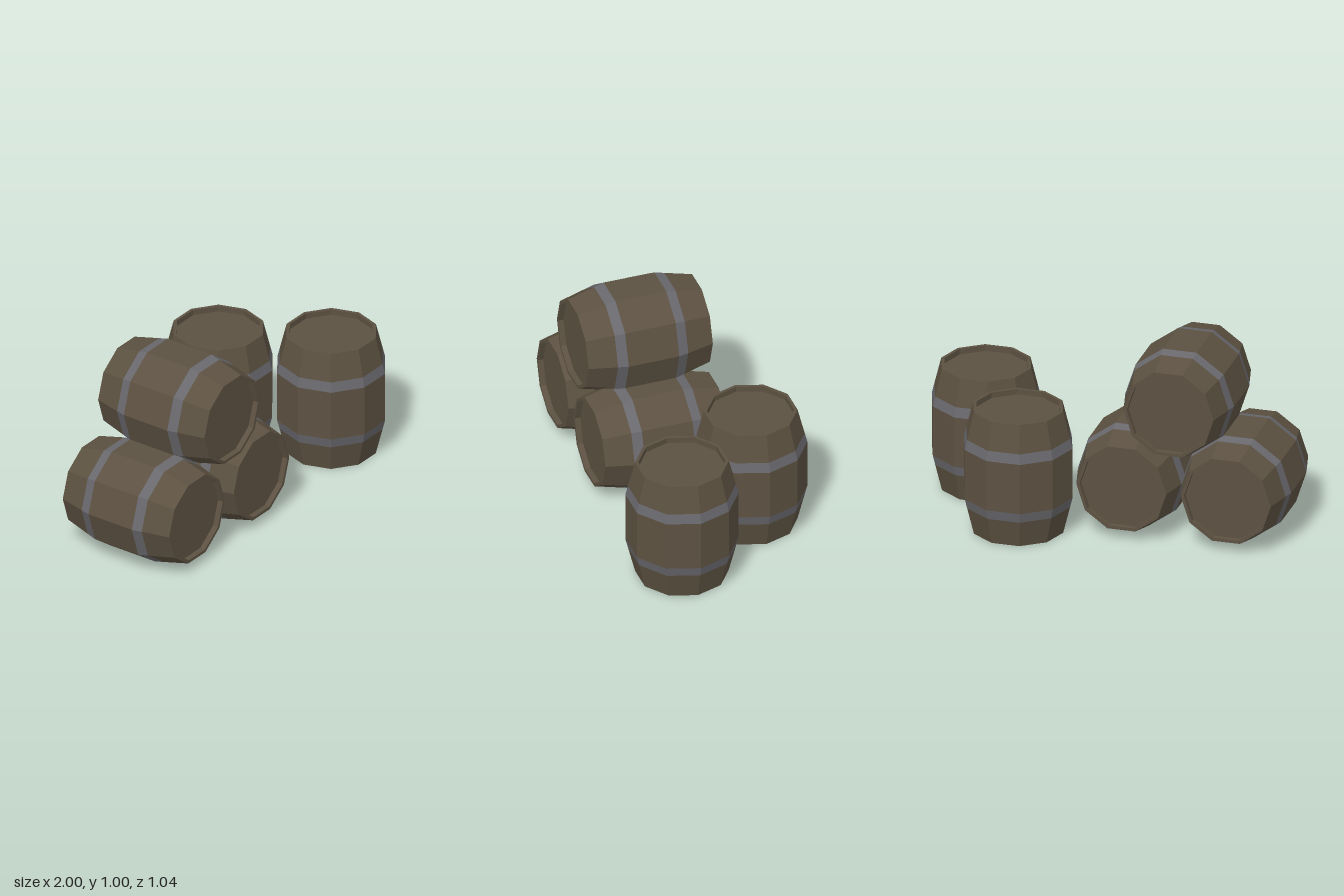
import * as THREE from 'three';

const SIDES = 10;
const LENGTH = 0.675;
const END_R = 0.24, MID_R = 0.29, RIM_R = 0.223, RECESS = 0.03;
const BAND_OUT = 0.147, BAND_IN = 0.2; // band edges, measured from each end
const BAND_R = END_R + (MID_R - END_R) * BAND_OUT / BAND_IN;

export function createModel() {
  const wood = new THREE.MeshStandardMaterial({ color: 0x5c5141, flatShading: true });
  wood.name = 'darkWood';
  const iron = new THREE.MeshStandardMaterial({ color: 0x68686d, flatShading: true });
  iron.name = 'ironBand';

  // Ten-sided ring swept from [radius, height] pairs, with corners on the x axis
  const ring = (pairs) => new THREE.LatheGeometry(
    pairs.map(([r, y]) => new THREE.Vector2(r, y)), SIDES, Math.PI / 2);
  // Same profile seen from the other end of the barrel
  const flip = (pairs) => pairs.map(([r, y]) => [r, LENGTH - y]).reverse();

  // Recessed lid, rim and the tapering staves up to the band
  const end = [[0, RECESS], [RIM_R, RECESS], [RIM_R, 0], [END_R, 0], [BAND_R, BAND_OUT]];
  const band = [[BAND_R, BAND_OUT], [MID_R, BAND_IN]];
  const middle = [[MID_R, BAND_IN], [MID_R, LENGTH - BAND_IN]];

  const parts = [
    ['lowerEnd', ring(end), wood],
    ['lowerBand', ring(band), iron],
    ['middleStaves', ring(middle), wood],
    ['upperBand', ring(flip(band)), iron],
    ['upperEnd', ring(flip(end)), wood],
  ];

  const model = new THREE.Group();
  model.name = 'barrelStack';

  const addBarrel = (name, x, y, z, lying) => {
    const barrel = new THREE.Group();
    barrel.name = name;
    for (const [partName, geometry, material] of parts) {
      const mesh = new THREE.Mesh(geometry, material);
      mesh.name = partName;
      barrel.add(mesh);
    }
    barrel.position.set(x, y, z);
    if (lying) barrel.rotation.x = Math.PI / 2;
    model.add(barrel);
  };

  // Pyramid of three barrels lying along z
  addBarrel('lyingBarrelRight', -0.71, 0.281, -0.24, true);
  addBarrel('lyingBarrelMiddle', -0.153, 0.281, -0.24, true);
  addBarrel('lyingBarrelTop', -0.405, 0.725, -0.24, true);

  // Two barrels standing upright
  addBarrel('standingBarrelFront', 0.71, 0, 0.243, false);
  addBarrel('standingBarrelBack', 0.396, 0, -0.243, false);

  return model;
}
